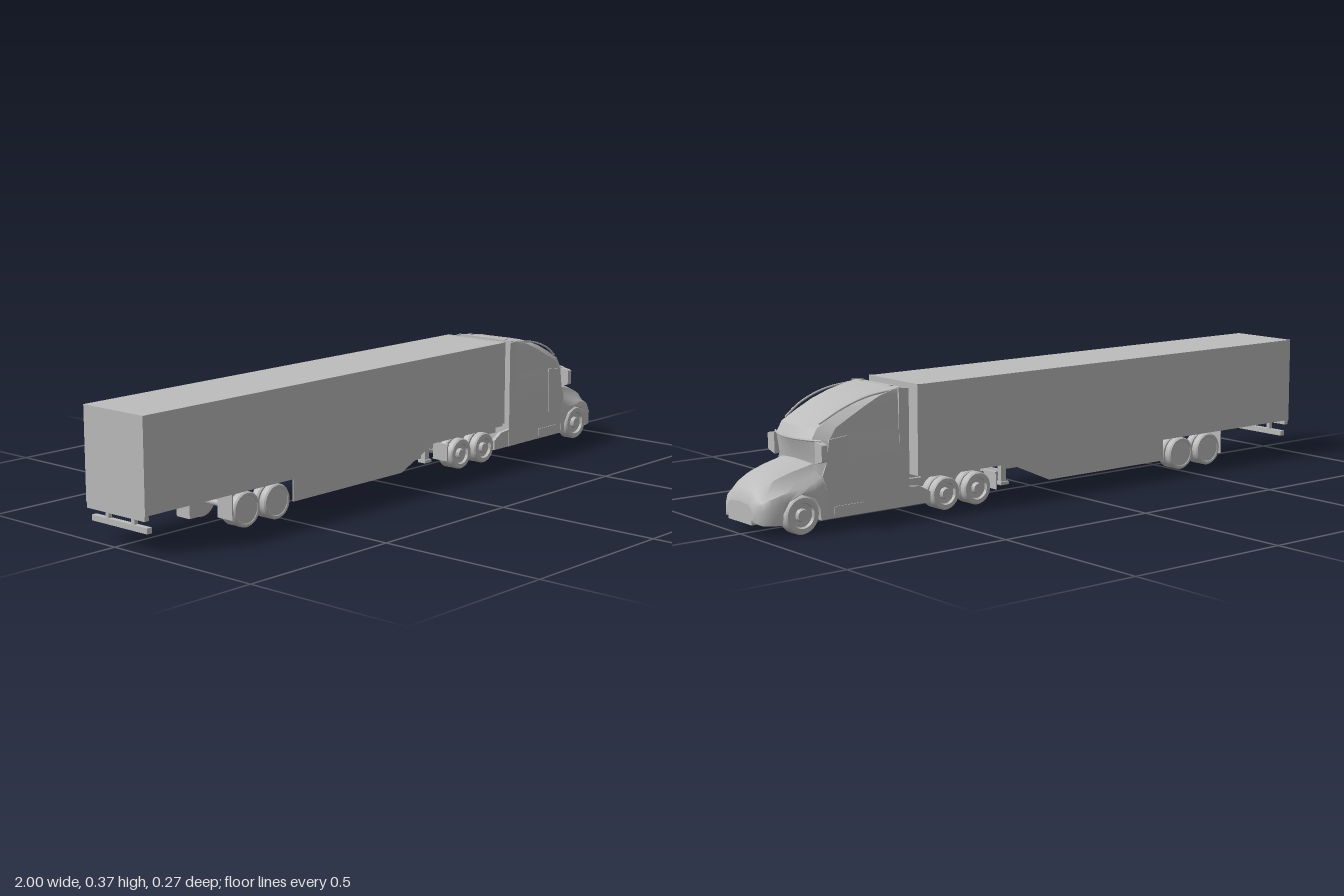
import * as THREE from 'three';
import { toCreasedNormals } from 'three/addons/utils/BufferGeometryUtils.js';

const grey = new THREE.MeshStandardMaterial({ color: 0xbcbcbc, side: THREE.DoubleSide });
grey.name = 'light grey';

function add(parent, name, geometry, x = 0, y = 0, z = 0) {
  const mesh = new THREE.Mesh(geometry, grey);
  mesh.name = name;
  mesh.position.set(x, y, z);
  parent.add(mesh);
  return mesh;
}

// Box given by its minimum and maximum on each axis
function block(parent, name, x0, x1, y0, y1, z0, z1) {
  return add(parent, name, new THREE.BoxGeometry(x1 - x0, y1 - y0, z1 - z0),
    (x0 + x1) / 2, (y0 + y1) / 2, (z0 + z1) / 2);
}

// Flat plate drawn in the side plane and given a thickness in z
function plate(parent, name, points, thickness, z) {
  const shape = new THREE.Shape(points.map(([x, y]) => new THREE.Vector2(x, y)));
  const geometry = new THREE.ExtrudeGeometry(shape, { depth: thickness, bevelEnabled: false });
  return add(parent, name, geometry, 0, 0, z - thickness / 2);
}

// Close a half outline by mirroring it in z
const mirrored = (half, side) => [
  ...half.map(([x, y, z]) => [x, y, z * side]),
  ...half.slice(1, -1).reverse().map(([x, y, z]) => [x, y, -z * side]),
];

// Skin closed rings and cap both ends
function loft(rings, crease) {
  const n = rings[0].length, points = rings.flat(), index = [];
  for (let i = 0; i < rings.length - 1; i++) {
    for (let j = 0; j < n; j++) {
      const a = i * n + j, b = i * n + (j + 1) % n;
      index.push(a, b, a + n, b, b + n, a + n);
    }
  }
  // Cap strips run across each ring between mirrored points
  for (const [start, flip] of [[0, true], [(rings.length - 1) * n, false]]) {
    for (let j = 0; j < n / 2; j++) {
      const a = start + j, b = start + j + 1, c = start + (n - j) % n, d = start + n - j - 1;
      for (const t of [[a, b, c], [b, d, c]]) {
        if (new Set(t).size === 3) index.push(...(flip ? [t[0], t[2], t[1]] : t).reverse());
      }
    }
  }
  const geometry = new THREE.BufferGeometry();
  geometry.setAttribute('position', new THREE.Float32BufferAttribute(points.flat(), 3));
  geometry.setIndex(index);
  return toCreasedNormals(geometry, crease);
}

// Turned wheel with its axle along z; the outer face points to side
function wheel(parent, name, x, radius, zOuter, width, side, covered) {
  const r = radius, h = width / 2;
  const face = covered
    ? [[r * 0.8, h], [r * 0.76, h - 0.002], [0, h - 0.001]]
    : [[r * 0.68, h], [r * 0.62, h - 0.008], [r * 0.36, h - 0.01], [r * 0.3, h + 0.001], [0, h + 0.001]];
  const profile = [[0, -h], [r * 0.9, -h], [r, -h + 0.005], [r, h - 0.005], [r * 0.93, h], ...face];
  const geometry = new THREE.LatheGeometry(profile.map(([a, b]) => new THREE.Vector2(a, b)), 28);
  const mesh = add(parent, name, toCreasedNormals(geometry, 0.5), x, r, side * (zOuter - h));
  mesh.rotation.x = side * Math.PI / 2;
}

function axle(parent, name, x, radius, covered) {
  for (const side of [-1, 1]) {
    wheel(parent, name + 'OuterWheel', x, radius, 0.115, 0.027, side, covered);
    wheel(parent, name + 'InnerWheel', x, radius, 0.084, 0.027, side, false);
  }
  add(parent, name + 'Axle', new THREE.CylinderGeometry(0.009, 0.009, 0.13, 10), x, radius).rotation.x = Math.PI / 2;
}

function buildCab(parent) {
  // Sleeper and roof: [y, nose x, side corner x, half width]
  const levels = [
    [0.03, 0.805, 0.803, 0.112], [0.1, 0.81, 0.805, 0.113], [0.185, 0.825, 0.8, 0.113],
    [0.24, 0.843, 0.79, 0.112], [0.246, 0.846, 0.785, 0.111], [0.274, 0.83, 0.765, 0.11],
    [0.3, 0.785, 0.715, 0.109], [0.325, 0.735, 0.665, 0.108], [0.345, 0.676, 0.62, 0.106],
    [0.356, 0.62, 0.58, 0.104], [0.362, 0.565, 0.55, 0.1],
  ];
  add(parent, 'sleeperCab', loft(levels.map(([y, nose, corner, w]) => mirrored([
    [nose, y, 0], [nose - (nose - corner) * 0.07, y, w * 0.4], [nose - (nose - corner) * 0.32, y, w * 0.78],
    [corner, y, w], [0.545, y, w], [0.545, y, 0],
  ], -1)), 0.45));

  // Hood and fenders: [x, top, hood half width, shoulder y, fender half width, fender y, arch y]
  const stations = [
    [0.8, 0.188, 0.078, 0.18, 0.113, 0.15, 0.03],
    [0.818, 0.186, 0.077, 0.178, 0.114, 0.142, 0.03],
    [0.82, 0.186, 0.077, 0.178, 0.114, 0.141, 0.062],
    [0.838, 0.182, 0.075, 0.173, 0.116, 0.132, 0.094],
    [0.878, 0.174, 0.072, 0.164, 0.117, 0.122, 0.11],
    [0.917, 0.163, 0.069, 0.152, 0.115, 0.116, 0.094],
    [0.935, 0.156, 0.067, 0.145, 0.112, 0.112, 0.062],
    [0.937, 0.155, 0.067, 0.144, 0.112, 0.111, 0.033],
    [0.965, 0.142, 0.063, 0.13, 0.105, 0.102, 0.033],
    [0.985, 0.126, 0.057, 0.115, 0.094, 0.092, 0.034],
    [0.997, 0.103, 0.048, 0.097, 0.076, 0.084, 0.04],
    [1.0, 0.09, 0.042, 0.087, 0.066, 0.078, 0.048],
  ];
  add(parent, 'hood', loft(stations.map(([x, top, hw, sy, fw, fy, ay]) => mirrored([
    [x, top, 0], [x, top - 0.003, hw * 0.6], [x, sy, hw], [x, fy + (sy - fy) * 0.35, hw + (fw - hw) * 0.35],
    [x, fy, fw - 0.008], [x, Math.max(fy - 0.02, ay + 0.001), fw], [x, ay, fw], [x, ay, 0.058],
    [x, Math.min(ay, 0.033), 0.058], [x, Math.min(ay, 0.033), 0],
  ], 1)), 0.6));

  for (const side of [-1, 1]) {
    // Rear side fairings and lower skirts
    plate(parent, 'sideFairing', [[0.527, 0.03], [0.56, 0.03], [0.56, 0.361], [0.527, 0.358]], 0.005, side * 0.1105);
    plate(parent, 'chassisSkirt', [[0.455, 0.03], [0.545, 0.03], [0.545, 0.085], [0.49, 0.08], [0.455, 0.06]], 0.012, side * 0.106);
    // Door with raised window frame
    plate(parent, 'door', [[0.73, 0.11], [0.8, 0.11], [0.812, 0.15], [0.8, 0.18], [0.79, 0.245], [0.73, 0.25]], 0.004, side * 0.113);
    block(parent, 'stepGrille', 0.68, 0.775, 0.04, 0.062, side * 0.113 - 0.002, side * 0.113 + 0.002);
    // Roof ridge running down beside the raised roof
    const ridge = new THREE.CatmullRomCurve3([[0.56, 0.357, 0.1], [0.66, 0.345, 0.099], [0.74, 0.318, 0.094],
      [0.8, 0.284, 0.082]].map(([x, y, z]) => new THREE.Vector3(x, y, z * side)));
    add(parent, 'roofRidge', new THREE.TubeGeometry(ridge, 16, 0.003, 6));
    add(parent, 'roofBeacon', new THREE.CylinderGeometry(0.007, 0.008, 0.004, 12), 0.557, 0.363, side * 0.07);
    // Mirror tapering outward from the windscreen corner
    const mirror = new THREE.Shape([[0.1, 0.181], [0.131, 0.19], [0.133, 0.194], [0.133, 0.234], [0.13, 0.237], [0.1, 0.242]]
      .map(([z, y]) => new THREE.Vector2(-z * side, y)));
    add(parent, 'mirror', new THREE.ExtrudeGeometry(mirror, { depth: 0.018, bevelEnabled: false }), 0.808)
      .rotation.y = Math.PI / 2;
    wheel(parent, 'frontWheel', 0.878, 0.052, 0.119, 0.04, side, false);
  }

  // Windscreen brow following the curved roof lip
  const brow = new THREE.CatmullRomCurve3([-0.114, -0.087, -0.045, 0, 0.045, 0.087, 0.114]
    .map((z) => new THREE.Vector3(0.846 - 2.6 * z * z, 0.243, z)));
  add(parent, 'windscreenBrow', new THREE.TubeGeometry(brow, 24, 0.003, 6));
}

function buildChassis(parent) {
  for (const side of [-1, 1]) {
    block(parent, 'frameRail', 0.22, 0.56, 0.062, 0.088, side * 0.04 - 0.005, side * 0.04 + 0.005);
    block(parent, 'tractorMudFlap', 0.22, 0.224, 0.035, 0.08, side * 0.086 - 0.028, side * 0.086 + 0.028);
    block(parent, 'mudFlapArm', 0.22, 0.228, 0.08, 0.087, side * 0.075 - 0.04, side * 0.075 + 0.04);
  }
  for (const x of [0.26, 0.345, 0.46]) block(parent, 'crossMember', x - 0.006, x + 0.006, 0.065, 0.084, -0.04, 0.04);
  add(parent, 'couplingPlate', new THREE.CylinderGeometry(0.05, 0.05, 0.022, 20), 0.345, 0.098);
  axle(parent, 'rearDrive', 0.289, 0.047, false);
  axle(parent, 'frontDrive', 0.401, 0.047, false);
}

function buildTrailer(parent) {
  block(parent, 'cargoBox', -1, 0.49, 0.112, 0.365, -0.1145, 0.1145);
  block(parent, 'cargoFrontFrame', 0.49, 0.498, 0.109, 0.366, -0.1145, 0.1145);
  for (const side of [-1, 1]) {
    block(parent, 'bottomRail', -1, 0.49, 0.102, 0.112, side * 0.1115 - 0.003, side * 0.1115 + 0.003);
    block(parent, 'slidingRail', -0.97, -0.42, 0.088, 0.112, side * 0.045 - 0.006, side * 0.045 + 0.006);
    plate(parent, 'aeroSkirt', [[-0.445, 0.035], [0.015, 0.035], [0.165, 0.1], [0.165, 0.112], [-0.445, 0.112]], 0.004, side * 0.104);
    // Landing legs with feet
    block(parent, 'landingLeg', 0.156, 0.174, 0.045, 0.112, side * 0.07 - 0.008, side * 0.07 + 0.008);
    block(parent, 'landingFoot', 0.15, 0.18, 0.036, 0.045, side * 0.07 - 0.014, side * 0.07 + 0.014);
    block(parent, 'trailerMudFlap', -0.69, -0.686, 0.03, 0.105, side * 0.086 - 0.028, side * 0.086 + 0.028);
    // Rear guard uprights
    block(parent, 'guardPost', -0.985, -0.973, 0.06, 0.112, side * 0.05 - 0.006, side * 0.05 + 0.006);
  }
  block(parent, 'guardBar', -0.988, -0.972, 0.052, 0.068, -0.108, 0.108);
  block(parent, 'rearSill', -1, -0.985, 0.088, 0.112, -0.112, 0.112);
  block(parent, 'landingBrace', 0.162, 0.168, 0.07, 0.078, -0.07, 0.07);
  block(parent, 'storageBox', -0.836, -0.78, 0.062, 0.112, 0.055, 0.105);
  for (let x = -0.9; x < 0.4; x += 0.14) block(parent, 'floorBeam', x - 0.004, x + 0.004, 0.103, 0.112, -0.11, 0.11);
  axle(parent, 'rearTrailer', -0.633, 0.05, true);
  axle(parent, 'frontTrailer', -0.516, 0.05, true);
}

export function createModel() {
  const model = new THREE.Group();
  model.name = 'articulatedTruck';
  const tractor = new THREE.Group(), trailer = new THREE.Group();
  tractor.name = 'tractor';
  trailer.name = 'trailer';
  buildCab(tractor);
  buildChassis(tractor);
  buildTrailer(trailer);
  // The trailer trails very slightly to one side
  trailer.rotation.y = 0.0033;
  trailer.position.z = 0.003;
  model.add(tractor, trailer);
  return model;
}
